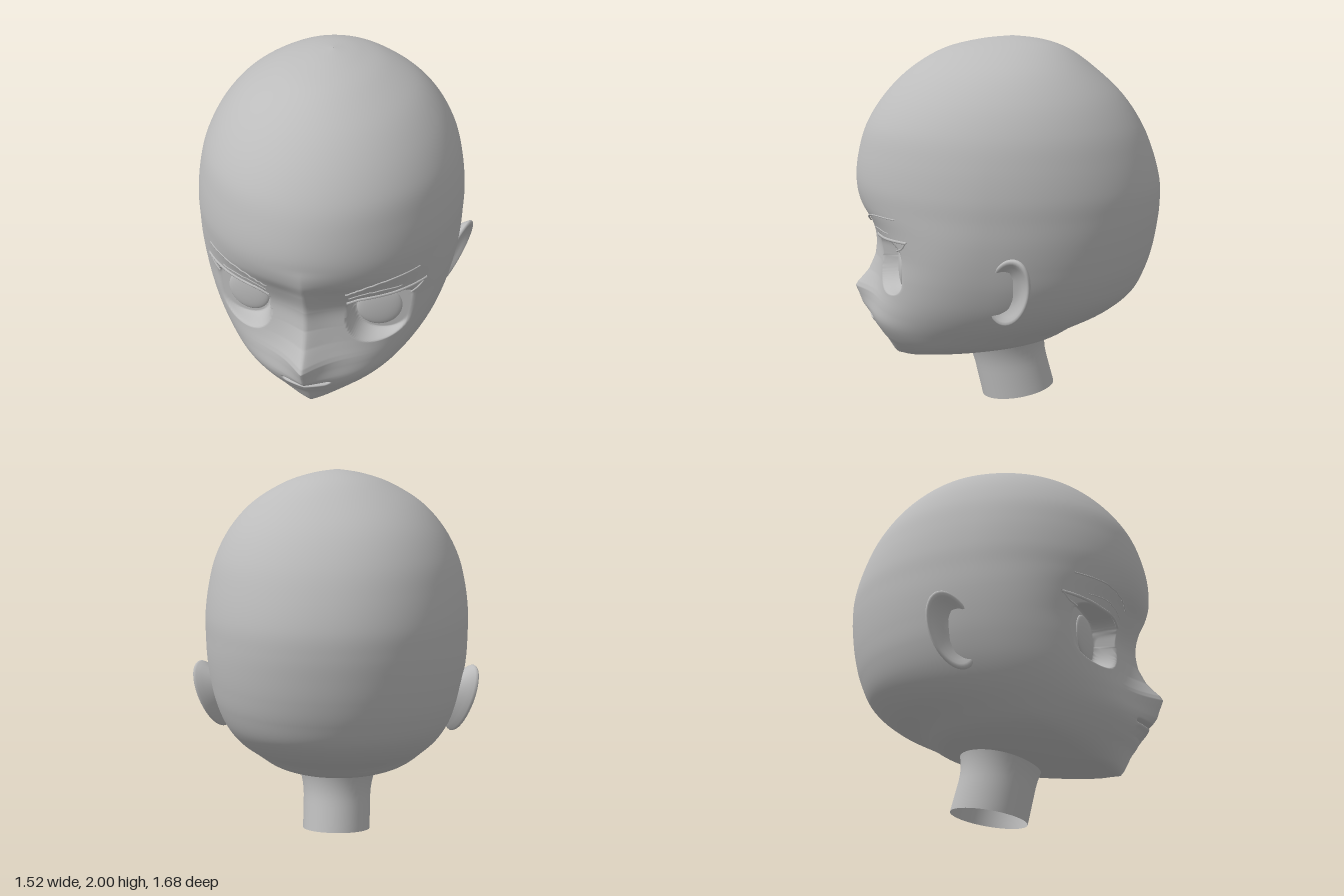
import * as THREE from 'three';

// Double-sided because the neck is an open tube
const skin = new THREE.MeshStandardMaterial({ color: 0xbcbcbc, side: THREE.DoubleSide });
skin.name = 'plain grey';

const { smoothstep, lerp } = THREE.MathUtils;
const gauss = (d, w) => Math.exp(-((d / w) ** 2));

// Head stations, chin to crown: y, front z, back z, half width, z of the widest point, front roundness
const stations = [
  [0.212, 0.60, 0.59, 0.001, 0.595, 1.6],
  [0.24, 0.62, 0.43, 0.09, 0.54, 1.6],
  [0.268, 0.635, 0.22, 0.185, 0.46, 1.6],
  [0.33, 0.665, -0.10, 0.33, 0.35, 1.65],
  [0.39, 0.703, -0.31, 0.425, 0.25, 1.75],
  [0.47, 0.722, -0.44, 0.50, 0.16, 1.95],
  [0.56, 0.69, -0.605, 0.568, 0.08, 2.15],
  [0.66, 0.655, -0.72, 0.62, 0.03, 2.3],
  [0.78, 0.637, -0.78, 0.66, 0, 2.35],
  [0.90, 0.637, -0.815, 0.685, 0, 2.28],
  [1.02, 0.695, -0.835, 0.70, 0, 2.1],
  [1.13, 0.77, -0.845, 0.704, 0, 1.95],
  [1.25, 0.797, -0.84, 0.704, 0, 1.92],
  [1.40, 0.777, -0.80, 0.685, 0, 1.94],
  [1.55, 0.725, -0.735, 0.645, -0.01, 2],
  [1.70, 0.625, -0.63, 0.565, -0.02, 2],
  [1.83, 0.49, -0.49, 0.445, -0.03, 2],
  [1.93, 0.32, -0.35, 0.28, -0.04, 2],
  [1.98, 0.13, -0.21, 0.13, -0.05, 2],
  [2.0, -0.049, -0.051, 0.001, -0.05, 2],
];

// Smooth rows between the stations, denser over the face
function makeRows() {
  const rows = [];
  const cr = (a, b, c, d, t) =>
    0.5 * (2 * b + (c - a) * t + (2 * a - 5 * b + 4 * c - d) * t * t + (3 * b - a - 3 * c + d) * t ** 3);
  const last = stations.length - 1;
  for (let i = 0; i < last; i++) {
    const y = stations[i][0];
    const n = y > 0.38 && y < 1 ? 24 : 7;
    const P = [Math.max(i - 1, 0), i, i + 1, Math.min(i + 2, last)].map((k) => stations[k]);
    for (let j = 0; j < n; j++) {
      rows.push(P[0].map((_, k) => cr(P[0][k], P[1][k], P[2][k], P[3][k], j / n)));
    }
  }
  rows.push(stations[last]);
  return rows;
}
const rows = makeRows();

// Nose ridge: y, height above the face
const ridge = [[0.39, 0], [0.46, 0.04], [0.504, 0.088], [0.6, 0.164], [0.625, 0.16], [0.7, 0.113], [0.79, 0.083],
  [0.9, 0.075], [1.02, 0.052], [1.13, 0.02], [1.22, 0]];
function noseHeight(y) {
  for (let i = 1; i < ridge.length; i++) {
    const [y0, h0] = ridge[i - 1], [y1, h1] = ridge[i];
    if (y >= y0 && y <= y1) return lerp(h0, h1, (y - y0) / (y1 - y0));
  }
  return 0;
}

// Nose, mouth and lip relief
function relief(x, y, z) {
  z += noseHeight(y) * Math.exp(-((Math.abs(x) / 0.115) ** 1.25));
  const mouth = 1 - smoothstep(Math.abs(x), 0.1, 0.135);
  return z + mouth * (0.006 * gauss(y - 0.442, 0.012) - 0.035 * gauss(y - 0.462, 0.007));
}

// Recessed eye floor, flat-topped and round below
const eyeFloor = (x) => 0.56 - 0.2 * Math.abs(x);
function eyeSocket(x, y, z) {
  const dx = Math.abs(Math.abs(x) - 0.36) / 0.155, dy = y - 0.84;
  const d = dy > 0 ? dx ** 4 + (dy / 0.135) ** 4 : dx ** 2.2 + (-dy / 0.16) ** 2.2;
  return lerp(z, Math.min(z, eyeFloor(x)), 1 - smoothstep(d, 0.8, 1.15));
}

// Face z at a given x and y, before the sockets are sunk
function faceZ(x, y) {
  const [, zf, , w, zc, n] = rows.find((r) => r[0] >= y);
  return relief(x, y, zc + (zf - zc) * Math.max(0, 1 - Math.abs(x / w) ** n) ** (1 / n));
}

// Closed-ring grid: point(i, j) returns [x, y, z]
function ringGrid(nRows, nCols, point, flip = false) {
  const pos = [], idx = [];
  for (let i = 0; i < nRows; i++) for (let j = 0; j < nCols; j++) pos.push(...point(i, j));
  for (let i = 0; i < nRows - 1; i++) {
    for (let j = 0; j < nCols; j++) {
      const a = i * nCols + j, b = i * nCols + (j + 1) % nCols, c = b + nCols, d = a + nCols;
      if (flip) idx.push(a, c, b, a, d, c);
      else idx.push(a, b, c, a, c, d);
    }
  }
  const g = new THREE.BufferGeometry();
  g.setAttribute('position', new THREE.Float32BufferAttribute(pos, 3));
  g.setIndex(idx);
  g.computeVertexNormals();
  return g;
}

function headGeometry() {
  const N = 220;
  return ringGrid(rows.length, N, (i, j) => {
    const [y, zf, zb, w, zc, nf] = rows[i];
    const u = (j / N) * Math.PI * 2, t = u - 0.6 * Math.sin(u);
    const s = Math.sin(t), c = Math.cos(t);
    const n = c > 0 ? nf : 2.08;
    const x = w * Math.sign(s) * Math.abs(s) ** (2 / n);
    const reach = Math.abs(c) ** (2 / n);
    if (c <= 0) return [x, y, zc + (zb - zc) * reach];
    return [x, y, eyeSocket(x, y, relief(x, y, zc + (zf - zc) * reach))];
  });
}

// Leaning open neck with a slanted foot, flaring into the skull
function neckGeometry() {
  const g = new THREE.CylinderGeometry(1, 1, 1, 48, 12, true);
  const p = g.attributes.position;
  for (let i = 0; i < p.count; i++) {
    const t = p.getY(i) + 0.5;
    const flare = 1 + 1.2 * Math.max(0, t - 0.4) ** 2;
    const z = p.getZ(i) * 0.2 * flare;
    p.setXYZ(i, p.getX(i) * 0.185 * flare, lerp(0.036, 0.46, t) - z * 0.18 * (1 - t), lerp(-0.085, 0.02, t) + z);
  }
  g.computeVertexNormals();
  return g;
}

// Cupped ear: rings from the hollow over the rim to the back, as [radius, depth]
function earGeometry(side) {
  const profile = [[0.001, -0.03], [0.3, -0.032], [0.55, -0.026], [0.75, -0.008], [0.86, 0.004], [0.93, 0.008],
    [0.98, 0.004], [1, -0.004], [0.97, -0.014], [0.85, -0.035], [0.6, -0.075], [0.4, -0.1]];
  const C = new THREE.Vector3(0.68, 0.79, -0.105), U = new THREE.Vector3(0.052, 0, -0.11);
  const V = new THREE.Vector3(0.06, 0.188, -0.035), D = new THREE.Vector3(0.9, -0.25, 0.35);
  return ringGrid(profile.length, 40, (i, j) => {
    const [r, d] = profile[i], a = (j / 40) * Math.PI * 2;
    const v = C.clone().addScaledVector(U, r * Math.cos(a)).addScaledVector(V, r * Math.sin(a)).addScaledVector(D, d);
    return [side * v.x, v.y, v.z];
  }, side > 0);
}

// Fine line laid on the face
function faceLine(points, side, radius) {
  const path = new THREE.CatmullRomCurve3(points.map(([x, y]) => new THREE.Vector3(side * x, y, 0)));
  const laid = path.getPoints(16).map((p) => p.setZ(faceZ(p.x, p.y) + 0.001));
  return new THREE.TubeGeometry(new THREE.CatmullRomCurve3(laid), 32, radius, 6);
}

export function createModel() {
  const model = new THREE.Group();
  model.name = 'head';
  const add = (name, geometry) => {
    const m = new THREE.Mesh(geometry, skin);
    m.name = name;
    model.add(m);
    return m;
  };

  add('skull', headGeometry());
  add('neck', neckGeometry());

  for (const side of [1, -1]) {
    const label = side > 0 ? 'left' : 'right';
    add(label + 'Ear', earGeometry(side));

    // Shallow domed iris on the eye floor
    const iris = add(label + 'Iris', new THREE.SphereGeometry(1, 40, 20));
    iris.scale.set(0.117, 0.12, 0.022);
    iris.position.set(side * 0.345, 0.835, eyeFloor(0.345));
    iris.rotation.y = side * 0.2;

    add(label + 'Eyebrow', faceLine([[0.2, 1.03], [0.28, 1.07], [0.38, 1.098], [0.54, 1.11]], side, 0.004));
    add(label + 'EyelidCrease', faceLine([[0.21, 0.985], [0.27, 1.01], [0.36, 1.025], [0.46, 1.02]], side, 0.003));
    add(label + 'UpperLash', faceLine([[0.2, 0.945], [0.26, 0.97], [0.4, 0.982], [0.57, 0.998]], side, 0.008));
    add(label + 'LashTip', faceLine([[0.5, 0.94], [0.535, 0.96], [0.57, 1.005]], side, 0.005));
  }
  return model;
}
